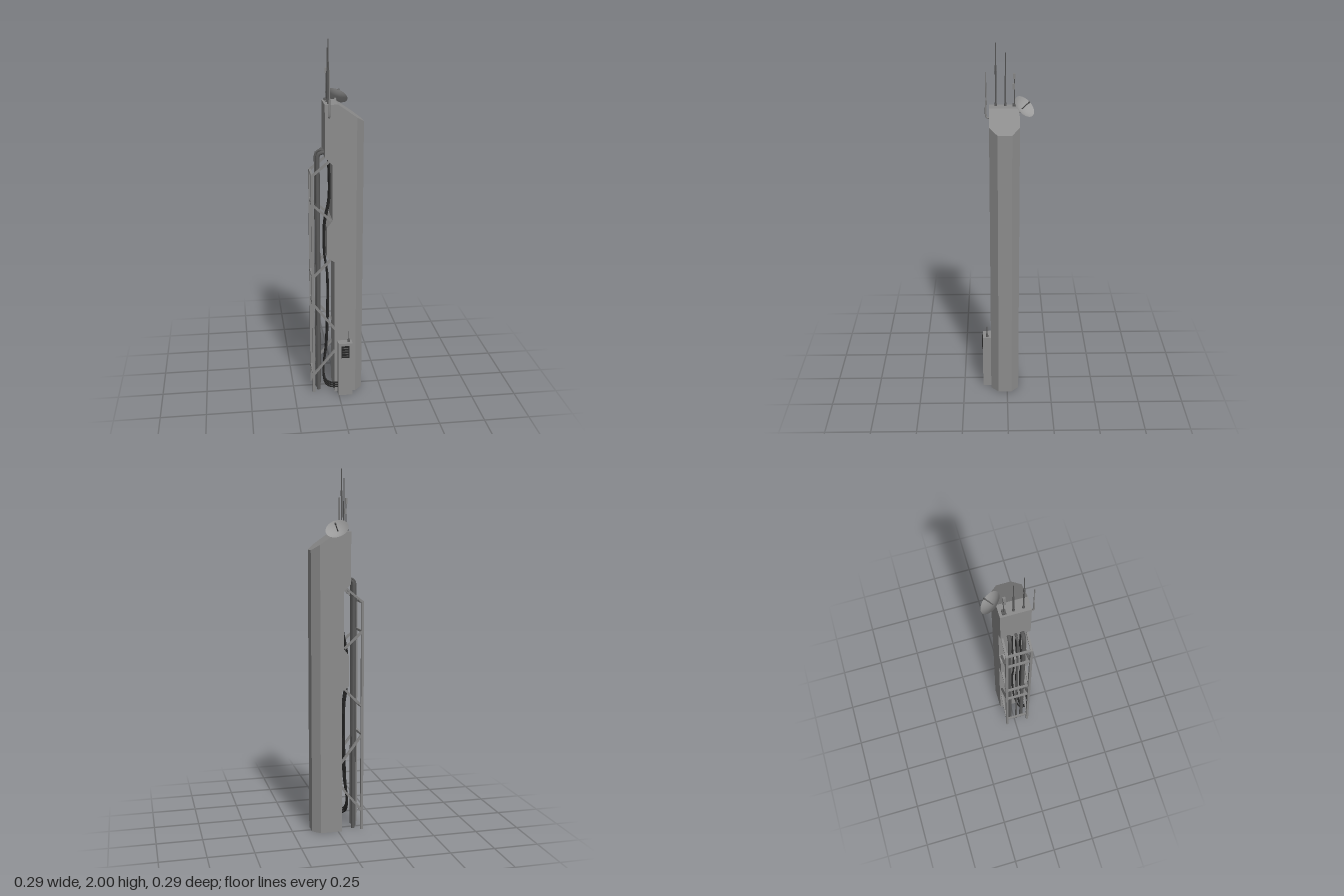
import * as THREE from 'three';

const mat = (name, color, side = THREE.FrontSide) => {
  const m = new THREE.MeshStandardMaterial({ color, side });
  m.name = name;
  return m;
};
const V = (x, y, z) => new THREE.Vector3(x, y, z);

export function createModel() {
  const root = new THREE.Group();
  root.name = 'antennaTower';
  const concrete = mat('concrete grey', 0x8c8c8c);
  const steel = mat('steel grey', 0x858585);
  const pipeGrey = mat('pipe grey', 0x5a5a5a);
  const black = mat('cable black', 0x262626);
  const dishGrey = mat('dish grey', 0x9a9a9a, THREE.DoubleSide);

  const add = (name, geo, material, x = 0, y = 0, z = 0, parent = root) => {
    const m = new THREE.Mesh(geo, material);
    m.name = name;
    m.position.set(x, y, z);
    parent.add(m);
    return m;
  };
  const box = (name, w, h, d, material, x, y, z) =>
    add(name, new THREE.BoxGeometry(w, h, d), material, x, y, z);
  // Round bar between two points
  const rod = (name, a, b, r, material, sides = 8, r2 = r) => {
    const m = add(name, new THREE.CylinderGeometry(r2, r, a.distanceTo(b), sides), material);
    m.position.copy(a).lerp(b, 0.5);
    m.quaternion.setFromUnitVectors(V(0, 1, 0), b.clone().sub(a).normalize());
    return m;
  };
  // Square bar between two points
  const bar = (name, a, b, s) => {
    const m = box(name, s, s, a.distanceTo(b) + s * 0.6, steel, 0, 0, 0);
    m.position.copy(a).lerp(b, 0.5);
    m.lookAt(b);
  };
  const tube = (name, pts, r, material, segs = 48) =>
    add(name, new THREE.TubeGeometry(new THREE.CatmullRomCurve3(pts, false, 'centripetal'), segs, r, 8), material);

  // Tower: chamfered plan, stepped left wall, sloping roof
  const levels = [[0, -0.02], [0.8, -0.02], [0.83, -0.06], [1.0, -0.06],
    [1.04, -0.03], [1.35, -0.03], [1.39, -0.07], [1.67, -0.07]];
  const rings = levels.map(([y, left], i) => {
    const roof = i === levels.length - 1;
    return [[left, -0.065], [0, -0.065], [0.1, -0.065], [0.142, -0.025],
      [0.142, 0.05], [0.1, 0.093], [0, 0.093], [left, 0.093]]
      .map(([x, z]) => [x, roof ? y - Math.max(0, x) * 0.7 : y, z]);
  });
  const pos = [];
  const quad = (a, b, c, d) => pos.push(...a, ...b, ...c, ...a, ...c, ...d);
  for (let k = 0; k < rings.length - 1; k++) {
    for (let i = 0; i < 8; i++) {
      const j = (i + 1) % 8;
      quad(rings[k][i], rings[k + 1][i], rings[k + 1][j], rings[k][j]);
    }
  }
  const top = rings[rings.length - 1], base = rings[0];
  for (let i = 0; i < 3; i++) {
    quad(top[i], top[7 - i], top[6 - i], top[i + 1]);
    quad(base[i], base[i + 1], base[6 - i], base[7 - i]);
  }
  const body = new THREE.BufferGeometry();
  body.setAttribute('position', new THREE.Float32BufferAttribute(pos, 3));
  body.computeVertexNormals();
  add('towerBody', body, concrete);

  // Side frame: two posts, diagonal braces and cross bars
  const braces = [[1.29, 1.37, -0.04], [1.13, 1.04, -0.04], [0.71, 0.81, -0.04],
    [0.55, 0.39, -0.015], [0.11, 0.26, -0.015]];
  for (const z of [-0.053, 0.08]) {
    box('framePost', 0.014, 1.295, 0.014, steel, -0.138, 0.6475, z);
    for (const [y0, y1, x1] of braces) bar('frameBrace', V(-0.138, y0, z), V(x1, y1, z), 0.012);
  }
  for (const [y] of braces) box('frameCrossBar', 0.012, 0.012, 0.133, steel, -0.138, y, 0.0135);

  // Riser pipes that bend into the upper tower
  for (const [x, z, r] of [[-0.095, -0.023, 0.01], [-0.115, 0.013, 0.006], [-0.107, 0.048, 0.0115]]) {
    const h = 1.42 - r;
    const path = new THREE.CurvePath();
    path.add(new THREE.LineCurve3(V(x, 0, z), V(x, h - 0.035, z)));
    path.add(new THREE.QuadraticBezierCurve3(V(x, h - 0.035, z), V(x, h, z), V(x + 0.03, h, z)));
    path.add(new THREE.LineCurve3(V(x + 0.03, h, z), V(-0.06, h, z)));
    add('riserPipe', new THREE.TubeGeometry(path, 80, r, 10), pipeGrey);
  }

  // Cables hanging down the recess and looping round to the cabinet
  for (let i = 0; i < 3; i++) {
    const z = 0.005 + i * 0.022, y = 0.045 + i * 0.013;
    tube('cable', [V(-0.045, 1.4, z), V(-0.042, 1.15, z), V(-0.068, 1.0, z), V(-0.068, 0.83, z),
      V(-0.052, 0.7, z), V(-0.06, 0.3, z + 0.01), V(-0.08, y + 0.06, 0.05 + i * 0.008),
      V(-0.07, y + 0.01, 0.092), V(-0.04, y, 0.112), V(0.005, y, 0.115)], 0.005, black, 90);
  }

  // Cabinet with a dark panel and short aerial
  box('cabinet', 0.08, 0.325, 0.047, concrete, 0.037, 0.1625, 0.1165);
  box('cabinetPanel', 0.044, 0.072, 0.006, black, 0.036, 0.274, 0.141);
  for (let i = 0; i < 4; i++) box('panelSlat', 0.034, 0.004, 0.002, pipeGrey, 0.036, 0.25 + i * 0.016, 0.1445);
  add('cabinetAerialBase', new THREE.CylinderGeometry(0.005, 0.008, 0.02, 10), pipeGrey, 0.058, 0.334, 0.115);
  rod('cabinetAerial', V(0.058, 0.33, 0.115), V(0.058, 0.39, 0.115), 0.0025, pipeGrey);

  // Roof whip antennas
  for (const [z, h] of [[0.008, 1.95], [0.058, 2.0]]) {
    add('whipBase', new THREE.CylinderGeometry(0.005, 0.0075, 0.018, 10), pipeGrey, -0.048, 1.678, z);
    rod('whipLower', V(-0.048, 1.67, z), V(-0.048, h - 0.12, z), 0.004, pipeGrey);
    rod('whipUpper', V(-0.048, h - 0.12, z), V(-0.048, h, z), 0.0025, pipeGrey);
  }
  rod('whipCollar', V(-0.048, 1.855, 0.058), V(-0.048, 1.885, 0.058), 0.0055, pipeGrey);

  // Whip on a front bracket
  tube('bracketArm', [V(-0.048, 1.605, 0.09), V(-0.048, 1.605, 0.103), V(-0.048, 1.615, 0.109),
    V(-0.048, 1.7, 0.109)], 0.005, steel, 24);
  rod('bracketWhip', V(-0.048, 1.69, 0.109), V(-0.048, 1.85, 0.109), 0.003, steel);

  // Sensor mast
  box('sensorBase', 0.026, 0.012, 0.02, pipeGrey, -0.047, 1.675, -0.04);
  rod('sensorMast', V(-0.047, 1.67, -0.04), V(-0.047, 1.84, -0.04), 0.0025, pipeGrey);
  box('lowerSensor', 0.012, 0.03, 0.014, steel, -0.043, 1.775, -0.036);
  box('upperSensor', 0.012, 0.03, 0.014, steel, -0.049, 1.828, -0.038);

  // Dish with feed arm
  const axis = V(0.4, 0.7, -0.6).normalize();
  const rim = V(0.014, 1.685, -0.09);
  const vertex = rim.clone().addScaledVector(axis, -0.02);
  const profile = [];
  for (let i = 0; i <= 8; i++) profile.push(new THREE.Vector2(0.063 * i / 8, 0.02 * (i / 8) ** 2));
  const dish = add('dish', new THREE.LatheGeometry(profile, 32), dishGrey);
  dish.position.copy(vertex);
  dish.quaternion.setFromUnitVectors(V(0, 1, 0), axis);
  const feed = vertex.clone().addScaledVector(axis, 0.062);
  rod('feedArm', vertex, feed, 0.003, pipeGrey);
  rod('feedHorn', feed.clone().addScaledVector(axis, -0.008), feed, 0.005, pipeGrey);
  rod('dishMount', V(0.0, 1.645, -0.055), vertex, 0.007, steel);
  return root;
}
